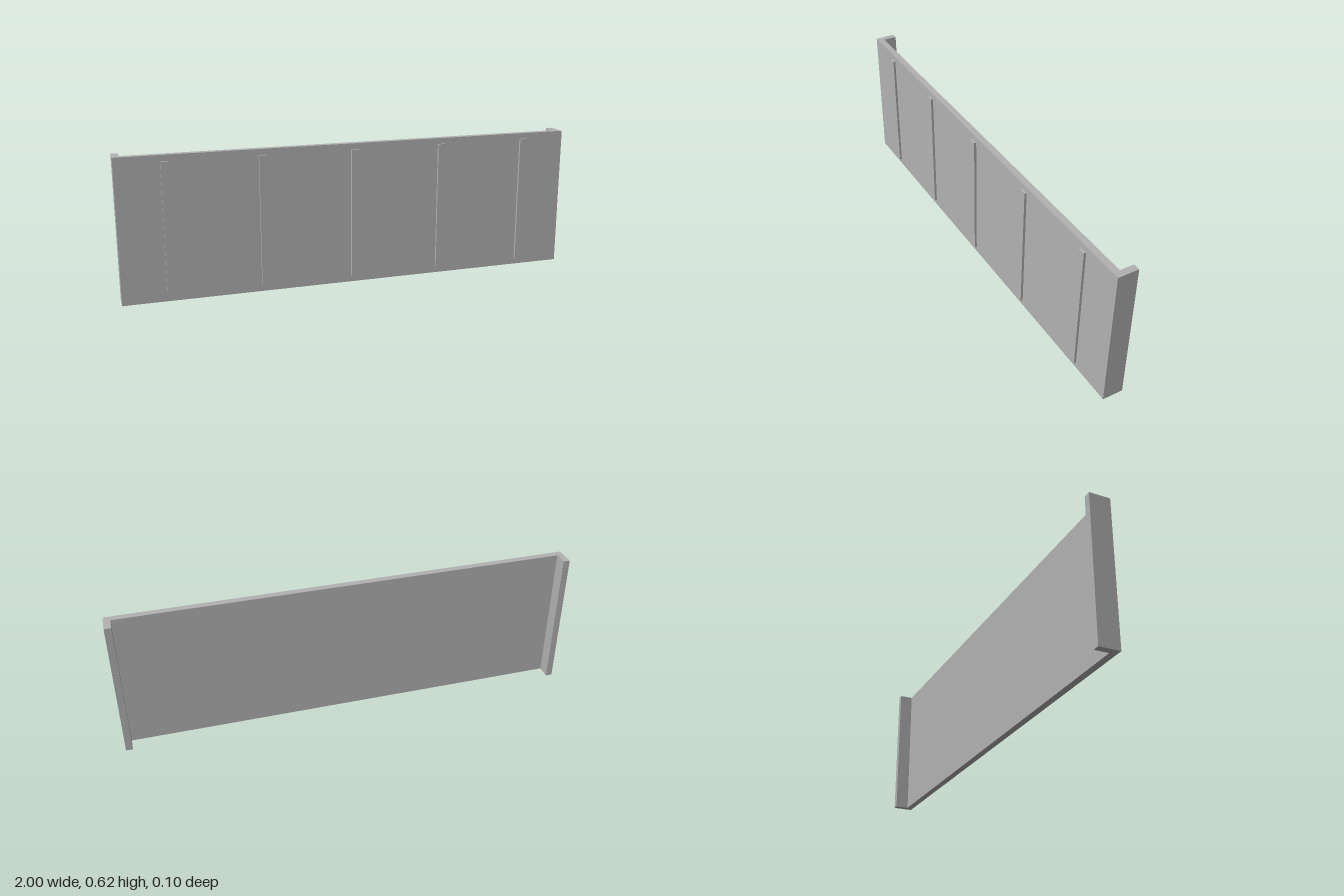
import * as THREE from 'three';

export function createModel() {
  const group = new THREE.Group();
  group.name = 'wallPanel';
  const grey = new THREE.MeshStandardMaterial({ color: 0xb2b2b2 });
  grey.name = 'plainGrey';

  const height = 0.618, front = 0.04, inner = 0.011, back = -0.049, flange = 0.029;

  // Shallow channel: flat panel with a return flange at each end (shape y = -z)
  const outline = [
    [-1, -front], [1, -front], [1, -back], [1 - flange, -back],
    [1 - flange, -inner], [-1 + flange, -inner], [-1 + flange, -back], [-1, -back],
  ].map(([x, y]) => new THREE.Vector2(x, y));
  const channel = new THREE.ExtrudeGeometry(new THREE.Shape(outline), { depth: height, bevelEnabled: false });
  channel.rotateX(-Math.PI / 2);
  const panel = new THREE.Mesh(channel, grey);
  panel.name = 'panelWithEndFlanges';
  group.add(panel);

  // Five evenly spaced raised ribs on the front face
  const ribGeometry = new THREE.BoxGeometry(0.032, 0.565, 0.01);
  for (let i = 0; i < 5; i++) {
    const rib = new THREE.Mesh(ribGeometry, grey);
    rib.name = `frontRib${i + 1}`;
    rib.position.set(-0.8 + i * 0.4, 0.31, front + 0.005);
    group.add(rib);
  }
  return group;
}
